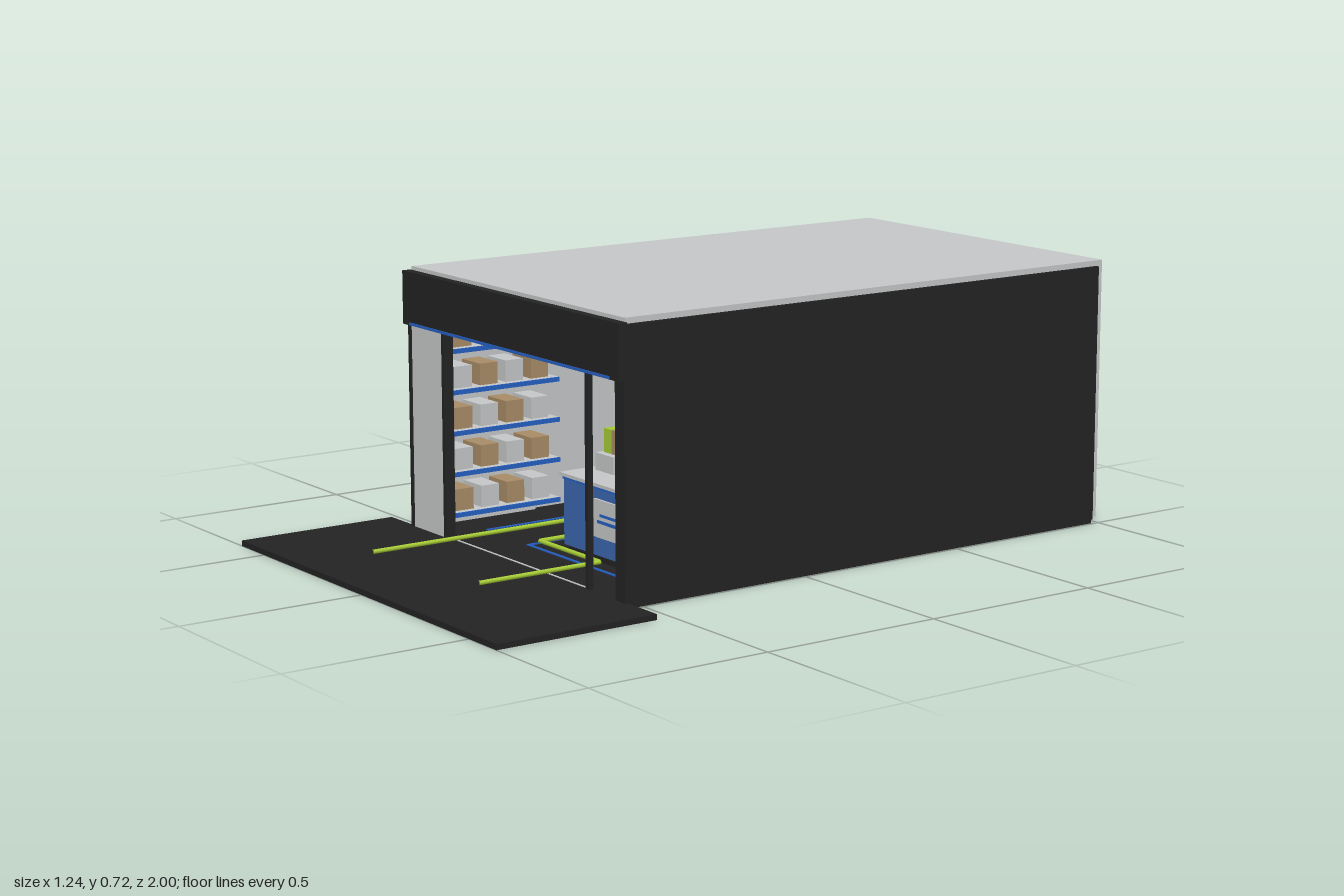
import * as THREE from 'three';

const mat = (name, color) => {
  const m = new THREE.MeshStandardMaterial({ color });
  m.name = name;
  return m;
};

export function createModel() {
  const black = mat('charcoal', 0x232323);
  const grey = mat('light grey', 0xc6c7c8);
  const blue = mat('panel blue', 0x3a67ae);
  const bright = mat('trim blue', 0x2560c4);
  const green = mat('lime', 0xa6cb35);
  const brown = mat('wood', 0xa98c67);

  const root = new THREE.Group();
  root.name = 'shop';
  const group = (name) => {
    const g = new THREE.Group();
    g.name = name;
    root.add(g);
    return g;
  };
  // Box given by its low and high limits on each axis
  const box = (g, name, m, x0, x1, y0, y1, z0, z1) => {
    const mesh = new THREE.Mesh(new THREE.BoxGeometry(x1 - x0, y1 - y0, z1 - z0), m);
    mesh.position.set((x0 + x1) / 2, (y0 + y1) / 2, (z0 + z1) / 2);
    mesh.name = name;
    g.add(mesh);
  };
  // Upright cylinder from y0 to y1
  const rod = (g, name, m, x, z, r, y0, y1, r2 = r) => {
    const mesh = new THREE.Mesh(new THREE.CylinderGeometry(r2, r, y1 - y0, 20), m);
    mesh.position.set(x, (y0 + y1) / 2, z);
    mesh.name = name;
    g.add(mesh);
  };

  // Building shell
  const shell = group('shell');
  box(shell, 'floor', black, -0.495, 0.495, 0, 0.015, -0.98, 0.55);
  box(shell, 'forecourt', black, -0.62, 0.62, 0, 0.015, 0.545, 1);
  box(shell, 'roof', grey, -0.493, 0.49, 0.702, 0.717, -1, 0.545);
  box(shell, 'backWall', grey, -0.493, 0.49, 0.015, 0.717, -1, -0.98);
  for (const s of [-1, 1]) {
    const xs = [s * 0.5, s * 0.49].sort((a, b) => a - b);
    const liner = [s * 0.49, s * 0.486].sort((a, b) => a - b);
    box(shell, 'sideWall', black, ...xs, 0.012, 0.702, -0.98, 0.555);
    box(shell, 'wallLiner', grey, ...liner, 0.015, 0.7, -0.98, 0.54);
  }

  // Shopfront
  const front = group('shopfront');
  box(front, 'fascia', black, -0.5, 0.5, 0.565, 0.707, 0.545, 0.57);
  box(front, 'fasciaTrim', bright, -0.465, 0.46, 0.566, 0.573, 0.565, 0.573);
  box(front, 'frontPanel', grey, -0.49, -0.338, 0.015, 0.565, 0.53, 0.55);
  box(front, 'panelEdge', black, -0.338, -0.325, 0.015, 0.565, 0.525, 0.553);
  box(front, 'cornerPost', black, 0.458, 0.49, 0.015, 0.565, 0.53, 0.553);
  box(front, 'doorPost', black, 0.323, 0.336, 0.015, 0.565, 0.535, 0.55);
  box(front, 'threshold', grey, -0.325, 0.323, 0.015, 0.017, 0.54, 0.545);

  // Service counter
  const counter = group('counter');
  box(counter, 'plinth', black, -0.02, 0.455, 0.015, 0.035, 0.13, 0.37);
  box(counter, 'counterBody', blue, -0.027, 0.458, 0.035, 0.217, 0.12, 0.38);
  box(counter, 'counterTop', grey, -0.033, 0.46, 0.217, 0.226, 0.11, 0.39);
  box(counter, 'topTrim', bright, -0.027, 0.458, 0.209, 0.215, 0.38, 0.384);
  box(counter, 'frontPlate', grey, 0.117, 0.325, 0.085, 0.184, 0.38, 0.386);
  box(counter, 'plateStripe', bright, 0.147, 0.303, 0.141, 0.148, 0.386, 0.388);
  box(counter, 'plateStripe', bright, 0.135, 0.315, 0.123, 0.131, 0.386, 0.388);

  // Items on the counter
  const items = group('counterItems');
  box(items, 'tray', grey, 0, 0.08, 0.226, 0.272, 0.22, 0.3);
  box(items, 'limePack', green, 0.01, 0.042, 0.272, 0.335, 0.24, 0.28);
  box(items, 'woodPack', brown, 0.045, 0.075, 0.272, 0.335, 0.24, 0.28);
  box(items, 'machineBody', grey, 0.355, 0.445, 0.226, 0.31, 0.2, 0.3);
  box(items, 'machineHopper', black, 0.367, 0.435, 0.31, 0.345, 0.21, 0.29);
  rod(items, 'machineChute', green, 0.403, 0.25, 0.008, 0.345, 0.7);
  for (const y of [0.235, 0.28, 0.325]) rod(items, 'cup', grey, 0.442, 0.17, 0.012, y, y + 0.038, 0.016);
  for (const x of [0.011, 0.176]) box(items, 'railPost', bright, x - 0.003, x + 0.003, 0.226, 0.44, 0.14, 0.146);
  box(items, 'railTop', bright, 0.008, 0.179, 0.437, 0.443, 0.14, 0.146);

  // Pendants over the counter
  const pendants = group('pendants');
  for (let i = 0; i < 4; i++) {
    const x = 0.045 + i * 0.0535;
    rod(pendants, 'pendantCord', black, x, 0.24, 0.003, 0.56, 0.702);
    rod(pendants, 'pendantShade', brown, x, 0.24, 0.016, 0.382, 0.562);
    rod(pendants, 'pendantRim', black, x, 0.24, 0.018, 0.37, 0.38);
  }

  // Hanging frame in the back corner
  const frame = group('hangingFrame');
  box(frame, 'frameSide', black, 0.265, 0.28, 0.44, 0.702, -0.3, -0.28);
  box(frame, 'frameSide', black, 0.455, 0.47, 0.44, 0.702, -0.3, -0.28);
  box(frame, 'frameBottom', black, 0.265, 0.47, 0.438, 0.458, -0.3, -0.28);

  // Rear locker wall, two columns by three rows
  const lockers = group('lockers');
  box(lockers, 'lockerBase', black, -0.325, -0.045, 0.015, 0.17, -0.7, -0.45);
  box(lockers, 'baseTrim', bright, -0.325, -0.045, 0.02, 0.03, -0.45, -0.445);
  box(lockers, 'lockerBody', grey, -0.325, -0.045, 0.17, 0.57, -0.7, -0.45);
  box(lockers, 'divider', grey, -0.043, -0.025, 0.015, 0.702, -0.7, -0.44);
  for (const x of [-0.255, -0.119]) {
    for (const [y, top, win0, win1] of [[0.18, 0.303, 0.19, 0.275], [0.31, 0.432, 0.322, 0.408], [0.442, 0.56, 0.453, 0.487]]) {
      const w = win1 - win0 < 0.05 ? 0.027 : 0.035;
      box(lockers, 'doorTrim', bright, x - 0.062, x + 0.062, top - 0.006, top, -0.45, -0.442);
      for (const s of [-1, 1])
        box(lockers, 'doorTrim', bright, x + s * 0.059 - 0.003, x + s * 0.059 + 0.003, y, top, -0.45, -0.442);
      box(lockers, 'doorWindow', black, x - w, x + w, win0, win1, -0.45, -0.443);
    }
  }

  // Stocked shelves along the right-hand wall
  const shelves = group('wallShelves');
  box(shelves, 'shelfBack', grey, -0.486, -0.47, 0.015, 0.6, 0.18, 0.52);
  for (let r = 0; r < 5; r++) {
    const y = 0.06 + r * 0.11;
    box(shelves, 'shelf', grey, -0.47, -0.35, y, y + 0.012, 0.18, 0.52);
    box(shelves, 'shelfEdge', bright, -0.35, -0.345, y, y + 0.012, 0.18, 0.52);
    for (let k = 0; k < 4; k++)
      box(shelves, 'stockBox', (r + k) % 2 ? brown : grey, -0.46, -0.37, y + 0.012, y + 0.07, 0.2 + k * 0.08, 0.255 + k * 0.08);
  }

  // Stools
  const stools = group('stools');
  for (const z of [-0.05, -0.185, -0.32]) {
    rod(stools, 'stoolFoot', grey, -0.42, z, 0.032, 0.015, 0.023);
    rod(stools, 'stoolStem', grey, -0.42, z, 0.017, 0.023, 0.125);
    rod(stools, 'stoolSeat', bright, -0.42, z, 0.033, 0.125, 0.145);
  }

  // Floor guide lines
  const lines = group('floorLines');
  box(lines, 'guideLine', bright, -0.343, -0.335, 0.015, 0.018, -0.4, 0.42);
  box(lines, 'guideLine', bright, -0.139, -0.131, 0.015, 0.018, -0.1, 0.42);
  box(lines, 'guideLine', bright, -0.139, 0.3, 0.015, 0.018, 0.416, 0.424);

  // Low queue rails
  const rails = group('queueRails');
  const rail = (x0, z0, x1, z1) => {
    const a = new THREE.Vector3(x0, 0.047, z0), b = new THREE.Vector3(x1, 0.047, z1);
    const mesh = new THREE.Mesh(new THREE.TubeGeometry(new THREE.LineCurve3(a, b), 1, 0.006, 10), green);
    mesh.name = 'queueRail';
    rails.add(mesh);
  };
  rail(-0.2, 0.85, -0.2, 0.1);
  rail(-0.2, 0.1, -0.05, 0.1);
  rail(-0.05, 0.1, -0.05, 0.44);
  rail(-0.05, 0.44, 0.225, 0.44);
  rail(0.225, 0.44, 0.225, 0.8);
  return root;
}
